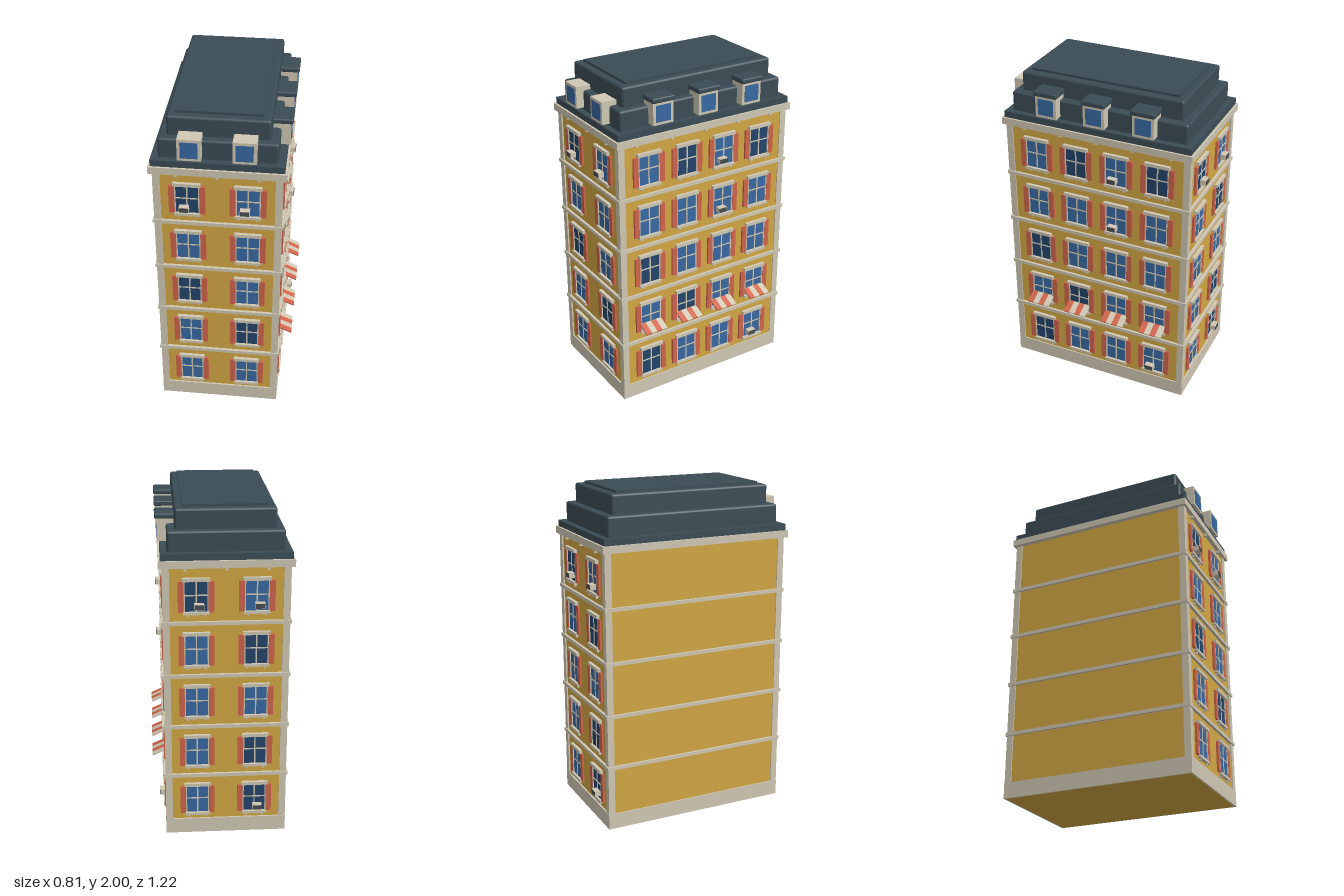
import * as THREE from 'three';
import { RoundedBoxGeometry } from 'three/addons/geometries/RoundedBoxGeometry.js';

const paint = (name, color) => {
  const m = new THREE.MeshStandardMaterial({ color });
  m.name = name;
  return m;
};

export function createModel() {
  const ochre = paint('ochre plaster', 0xd2a744);
  const stone = paint('pale stone', 0xd0c8b4);
  const slate = paint('slate', 0x3b4c55);
  const red = paint('shutter red', 0xd0644a);
  const blue = paint('window blue', 0x3869a2);
  const navy = paint('dark window', 0x23446a);
  const grey = paint('grille grey', 0x4a4c4e);

  const model = new THREE.Group();
  model.name = 'townhouse';

  const put = (parent, name, geo, mat, x, y, z) => {
    const m = new THREE.Mesh(geo, mat);
    m.name = name;
    m.position.set(x, y, z);
    parent.add(m);
    return m;
  };
  const box = (parent, name, mat, w, h, d, x, y, z) =>
    put(parent, name, new THREE.BoxGeometry(w, h, d), mat, x, y, z);

  const CX = -0.03; // the building sits a little off centre because of the awnings
  const W = 0.705, D = 1.14, PITCH = 0.32;
  // slab around the building's axis, given its bottom and top heights
  const slab = (name, mat, w, d, y0, y1) =>
    box(model, name, mat, w, y1 - y0, d, CX, (y0 + y1) / 2, 0);

  // Walls, plinth, bands and cornice
  slab('walls', ochre, W, D, 0, 1.69);
  slab('plinth', stone, 0.72, 1.16, 0.001, 0.095);
  for (let i = 1; i < 5; i++) slab('floorBand', stone, 0.734, 1.172, PITCH * i + 0.06, PITCH * i + 0.081);
  slab('cornice', stone, 0.758, 1.19, 1.675, 1.717);
  for (const sx of [-1, 1]) for (const sz of [-1, 1])
    box(model, 'cornerPilaster', stone, 0.04, 1.59, 0.04, CX + sx * 0.339, 0.88, sz * 0.559);

  // Stepped roof with softened edges
  slab('roofBase', slate, 0.735, 1.165, 1.715, 1.755);
  const tier = (name, w, d, y0, y1) =>
    put(model, name, new RoundedBoxGeometry(w, y1 - y0, d, 2, 0.014), slate, CX, (y0 + y1) / 2, 0);
  tier('lowerRoofTier', 0.656, 1.09, 1.74, 1.872);
  tier('upperRoofTier', 0.566, 1.0, 1.85, 1.986);
  slab('roofCap', slate, 0.482, 0.91, 1.98, 2.0);

  // One facade: local x runs to the viewer's right, local z points outwards
  const facade = (name, angle, x, z) => {
    const g = new THREE.Group();
    g.name = name;
    g.rotation.y = angle;
    g.position.set(x, 0, z);
    model.add(g);
    return g;
  };

  const addWindow = (face, x, y, dark) => {
    const g = new THREE.Group();
    g.name = 'window';
    g.position.set(x, y, 0);
    face.add(g);
    box(g, 'glass', dark ? navy : blue, 0.134, 0.18, 0.006, 0, 0.23, 0.002);
    for (const s of [-1, 1]) {
      box(g, 'frameSide', stone, 0.006, 0.18, 0.012, s * 0.066, 0.23, 0.005);
      box(g, 'shutter', red, 0.032, 0.18, 0.012, s * 0.086, 0.226, 0.006);
      box(g, 'sillBracket', stone, 0.01, 0.014, 0.012, s * 0.05, 0.117, 0.006);
    }
    box(g, 'mullion', stone, 0.008, 0.18, 0.008, 0, 0.23, 0.004);
    box(g, 'glazingBar', stone, 0.13, 0.007, 0.008, 0, 0.235, 0.004);
    box(g, 'lintel', stone, 0.155, 0.02, 0.022, 0, 0.327, 0.009);
    box(g, 'sill', stone, 0.148, 0.016, 0.02, 0, 0.131, 0.009);
  };

  const addCooler = (face, x, y) => {
    const g = new THREE.Group();
    g.name = 'airConditioner';
    g.position.set(x, y + 0.175, 0);
    face.add(g);
    box(g, 'coolerBody', stone, 0.055, 0.032, 0.04, 0, 0, 0.02);
    box(g, 'coolerGrille', grey, 0.05, 0.027, 0.003, 0, 0, 0.0405);
  };

  // Rows run from the ground up: d = dark, D = dark with cooler, c = cooler, . = plain
  const fill = (face, xs, rows, shift) => rows.forEach((row, f) => xs.forEach((x, i) => {
    const k = row[i];
    addWindow(face, x, f * PITCH, k === 'd' || k === 'D');
    if (k === 'c' || k === 'D') addCooler(face, x + shift, f * PITCH);
  }));
  const two = [-0.17, 0.17];
  const four = [-0.384, -0.128, 0.128, 0.384];
  const front = facade('frontFacade', 0, CX, D / 2);
  const back = facade('backFacade', Math.PI, CX, -D / 2);
  const side = facade('sideFacade', Math.PI / 2, CX + W / 2, 0);
  fill(front, two, ['..', '.d', 'd.', '..', 'Dc'], -0.016);
  fill(back, two, ['.D', '.d', '..', '.d', 'Dc'], 0.016);
  fill(side, four, ['d..c', '.d..', 'd...', '..c.', '.dcd'], -0.018);

  // Little corbels under the cornice
  for (const face of [front, back])
    for (const x of [-0.23, 0, 0.23]) box(face, 'corbel', stone, 0.016, 0.02, 0.018, x, 1.667, 0.009);
  for (const x of [-0.46, -0.23, 0, 0.23, 0.46])
    box(side, 'corbel', stone, 0.016, 0.02, 0.012, x, 1.667, 0.006);

  // Striped awnings over the second row of the side facade
  for (const x of four) {
    const g = new THREE.Group();
    g.name = 'awning';
    g.position.set(x, 0.505, 0);
    g.rotation.x = 0.42;
    side.add(g);
    for (let i = 0; i < 4; i++)
      box(g, 'awningStripe', i % 2 ? stone : red, 0.0365, 0.008, 0.088, (i - 1.5) * 0.0365, 0, 0.044);
  }

  // Dormers: pale boxes with a square window, the side ones with slate caps
  const addDormer = (face, x, zBack, zFront, cap) => {
    const g = new THREE.Group();
    g.name = 'dormer';
    g.position.set(x, 1.835, 0);
    face.add(g);
    const depth = zFront - zBack, mid = (zFront + zBack) / 2;
    box(g, 'dormerBody', stone, 0.13, 0.13, depth, 0, 0, mid);
    box(g, 'dormerGlass', blue, 0.096, 0.098, 0.004, 0, 0, zFront + 0.001);
    if (cap) put(g, 'dormerCap', new RoundedBoxGeometry(0.148, 0.03, depth + 0.012, 2, 0.008),
      slate, 0, 0.08, mid + 0.006);
  };
  for (const x of [-0.15, 0.15]) addDormer(front, x, -0.09, 0.022, false);
  for (const x of [-0.3, 0, 0.3]) addDormer(side, x, -0.08, 0.028, true);

  return model;
}
